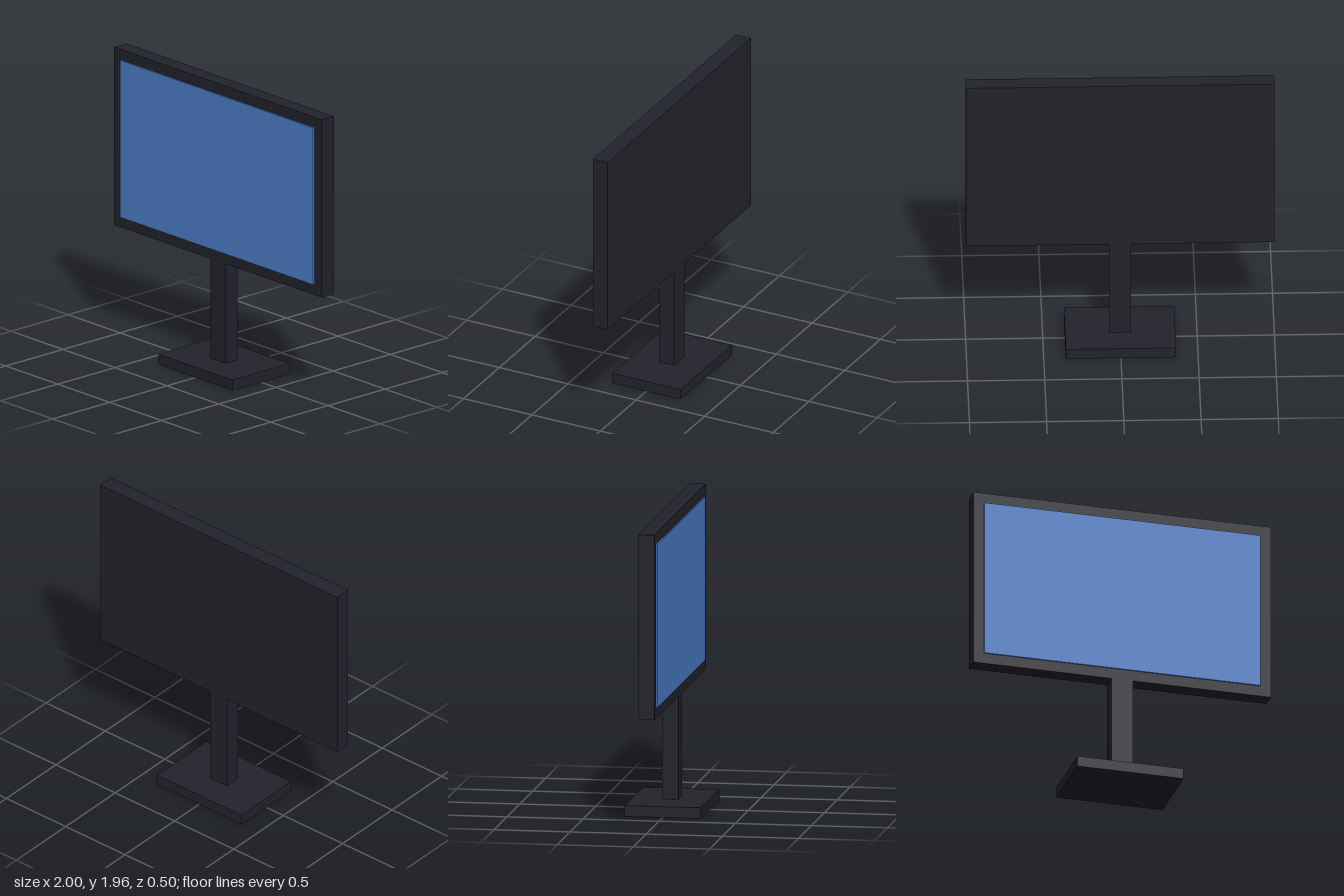
import * as THREE from 'three';

const casing = new THREE.MeshStandardMaterial({ name: 'dark casing', color: 0x22222b });
const glass = new THREE.MeshStandardMaterial({ name: 'blue screen', color: 0x4d80cc });

const U = 1 / 14; // design unit

// Box in design units, standing on height y and centred on x and z
function box(name, material, w, h, d, y, z = 0) {
  const mesh = new THREE.Mesh(new THREE.BoxGeometry(w * U, h * U, d * U), material);
  mesh.name = name;
  mesh.position.set(0, (y + h / 2) * U, z * U);
  return mesh;
}

export function createModel() {
  const model = new THREE.Group();
  model.name = 'monitor';
  model.add(
    box('base', casing, 10, 1, 7, 0),
    box('neck', casing, 2, 9.5, 1.5, 1),
    box('panel', casing, 28, 17, 1.5, 10.5),
    // thin plate raised just off the panel front
    box('screen', glass, 26, 15, 0.14, 11.5, 0.82),
  );
  return model;
}
